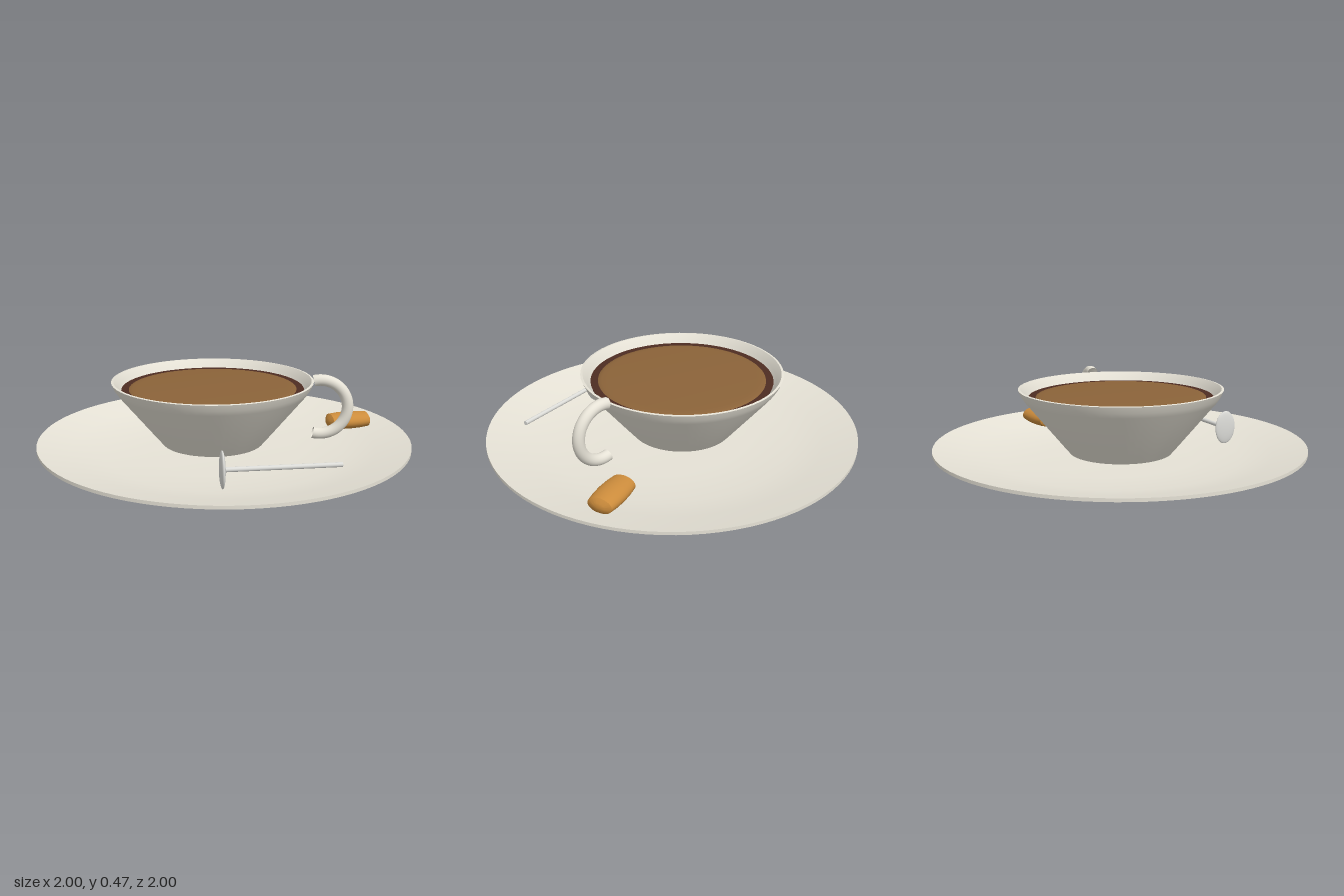
import * as THREE from 'three';
import { toCreasedNormals } from 'three/addons/utils/BufferGeometryUtils.js';

const material = (name, color, side = THREE.FrontSide) => {
  const m = new THREE.MeshStandardMaterial({ color, side });
  m.name = name;
  return m;
};

// Revolve a profile of [radius, height] pairs, keeping sharp corners sharp
const turned = (profile, segments = 64) => toCreasedNormals(
  new THREE.LatheGeometry(profile.map(([r, y]) => new THREE.Vector2(r, y)), segments), 0.6);

export function createModel() {
  const ceramic = material('ceramic', 0xe6e2d6, THREE.DoubleSide);
  const darkCoffee = material('darkCoffee', 0x4e2c22);
  const crema = material('crema', 0x8b6339);
  const steel = material('steel', 0xdcdcd8);
  const baked = material('bakedCrust', 0xcc8c3c);

  const model = new THREE.Group();
  const add = (name, geometry, mat, parent = model) => {
    const mesh = new THREE.Mesh(geometry, mat);
    mesh.name = name;
    parent.add(mesh);
    return mesh;
  };

  // Saucer: dished top and underside meeting at a thin rim
  add('saucer', turned([
    [0, 0], [0.6, 0], [0.75, 0.03], [1, 0.11], [1, 0.127],
    [0.82, 0.083], [0.65, 0.048], [0.4, 0.035], [0, 0.03],
  ], 96), ceramic);

  // Cup with its contents
  const cup = new THREE.Group();
  cup.name = 'cup';
  cup.position.set(-0.063, 0, -0.002);
  model.add(cup);
  add('cupBody', turned([
    [0, 0.088], [0.275, 0.088], [0.31, 0.13], [0.51, 0.375], [0.528, 0.402], [0.542, 0.435],
    [0.53, 0.437], [0.505, 0.405], [0.488, 0.37], [0.27, 0.11], [0, 0.11],
  ]), ceramic, cup);
  add('coffeeSurface', turned([[0.485, 0.375], [0.49, 0.39], [0, 0.39]]), darkCoffee, cup);
  add('cremaLayer', turned([[0.453, 0.388], [0.448, 0.392], [0.43, 0.396], [0.4, 0.398], [0, 0.399]]), crema, cup);

  // Handle: an open-ended ring section, longer than a half circle
  const arc = THREE.MathUtils.degToRad(208);
  const ring = new THREE.TorusGeometry(0.149, 0.031, 20, 48, arc).rotateZ(-arc / 2);
  const handle = add('cupHandle', ring, ceramic);
  handle.position.set(0.505, 0.286, -0.118);
  handle.rotation.y = 0.19;

  // Spoon: thin rod with an upright flattened bowl
  const spoon = new THREE.Group();
  spoon.name = 'spoon';
  spoon.position.set(0.14, 0, 0.62);
  spoon.rotation.y = 0.365;
  model.add(spoon);
  const bowl = add('spoonBowl', new THREE.SphereGeometry(0.065, 32, 20), steel, spoon);
  bowl.scale.set(0.22, 1.45, 1);
  bowl.position.y = 0.155;
  const rod = add('spoonRod', new THREE.CylinderGeometry(0.012, 0.012, 0.57, 16).rotateZ(Math.PI / 2), steel, spoon);
  rod.position.set(0.293, 0.155, 0);

  // Biscuit: flattened barrel with gently domed ends
  const biscuit = add('biscuit', turned([
    [0, -0.13], [0.035, -0.125], [0.065, -0.11], [0.072, -0.06], [0.075, 0],
    [0.072, 0.06], [0.065, 0.11], [0.035, 0.125], [0, 0.13],
  ], 40).rotateZ(-Math.PI / 2).scale(1, 0.64, 1), baked);
  biscuit.position.set(0.636, 0.134, -0.424);
  biscuit.rotation.y = 0.5;

  return model;
}
